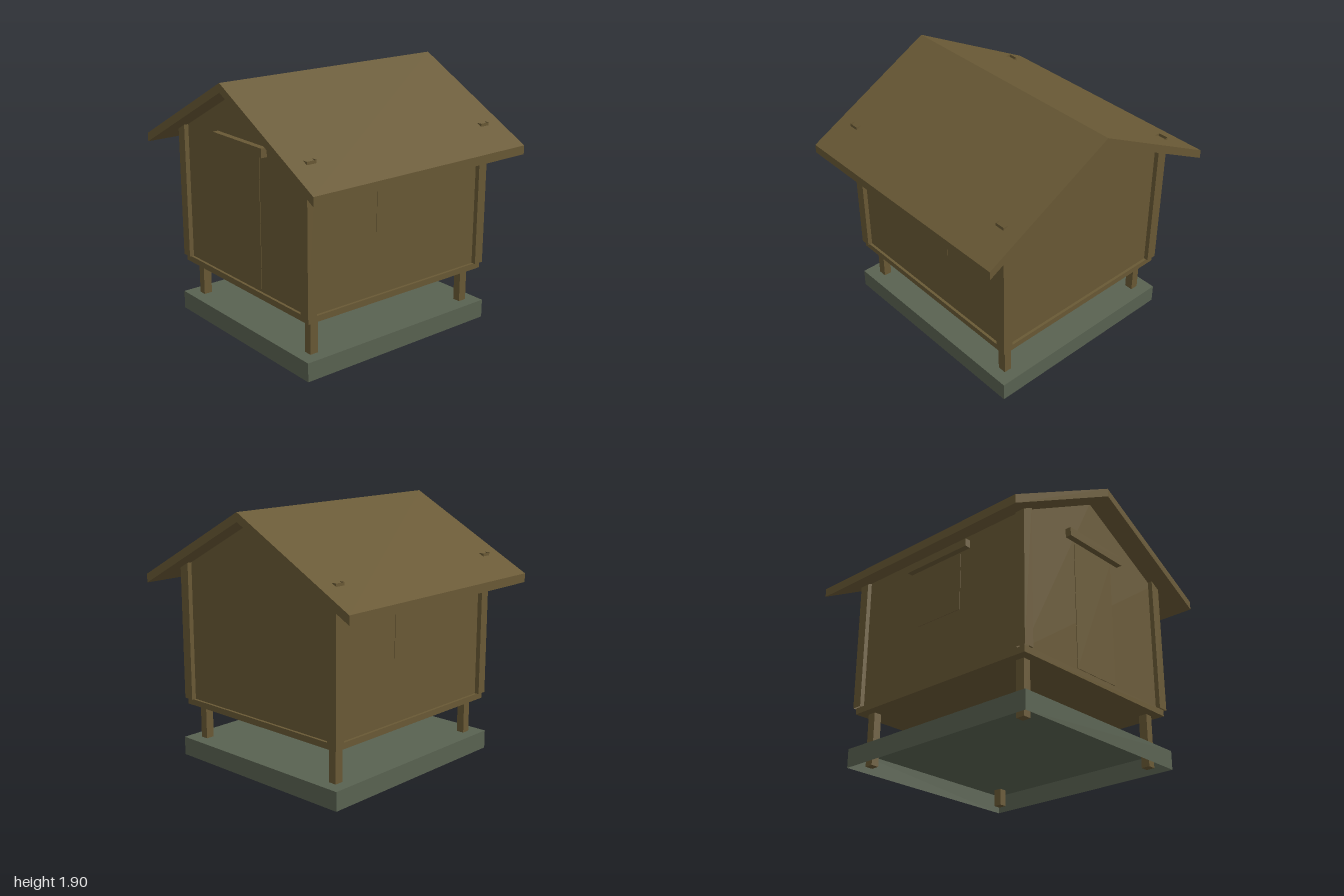
import * as THREE from 'three';

export function createModel() {
  const root = new THREE.Group();
  root.name = 'raisedCabin';

  const wood = new THREE.MeshStandardMaterial({ color: 0x69593a });
  wood.color.set(0x695935);
  wood.name = 'brown wood';
  const woodShell = wood.clone(); // same colour, for open tubes
  woodShell.side = THREE.DoubleSide;
  const stone = new THREE.MeshStandardMaterial({ color: 0x596251, side: THREE.DoubleSide });
  stone.name = 'grey green stone';

  const add = (name, geometry, material = wood) => {
    const mesh = new THREE.Mesh(geometry, material);
    mesh.name = name;
    root.add(mesh);
    return mesh;
  };

  // Box given by its extents; skipped faces are left open (0 +x, 1 -x, 2 +y, 3 -y, 4 +z, 5 -z)
  const box = (x0, x1, y0, y1, z0, z1, skip = []) => {
    const g = new THREE.BoxGeometry(x1 - x0, y1 - y0, z1 - z0);
    g.translate((x0 + x1) / 2, (y0 + y1) / 2, (z0 + z1) / 2);
    const index = Array.from(g.index.array);
    g.setIndex(index.filter((_, i) => !skip.includes(Math.floor(i / 6))));
    g.clearGroups();
    return g;
  };

  // Outline in x and y, extruded evenly about z = 0
  const prism = (points, halfDepth) => {
    const shape = new THREE.Shape(points.map(([x, y]) => new THREE.Vector2(x, y)));
    const g = new THREE.ExtrudeGeometry(shape, { depth: 2 * halfDepth, bevelEnabled: false });
    return g.translate(0, 0, -halfDepth);
  };

  // Foundation slab, hollow underneath
  add('foundation', box(-0.78, 0.78, 0, 0.138, -0.83, 0.83, [3]), stone);

  // Floor and gabled body
  add('floor', box(-0.755, 0.755, 0.4, 0.445, -0.805, 0.805));
  const wallX = 0.735, wallZ = 0.785, slope = 0.535;
  const eave = 1.85 - slope * wallX;
  add('walls', prism(
    [[-wallX, 0.44], [wallX, 0.44], [wallX, eave], [0, 1.85], [-wallX, eave]], wallZ));

  // Pitched roof
  add('roof', prism(
    [[-1, 1.305], [0, 1.84], [1, 1.305], [1, 1.37], [0, 1.905], [-1, 1.37]], 0.95));

  // Stilts and corner trims
  for (const sx of [-1, 1]) {
    for (const sz of [-1, 1]) {
      const span = (s, a, b) => (s > 0 ? [a, b] : [-b, -a]);
      add('stilt', box(...span(sx, 0.63, 0.69), 0.01, 0.41, ...span(sz, 0.675, 0.74)));
      add('cornerTrim',
        box(...span(sx, 0.69, 0.77), 0.445, 1.515, ...span(sz, 0.745, 0.82), [2, 3]), woodShell);
    }
  }

  // Door with its lintel
  add('door', box(-0.205, 0.205, 0.47, 1.42, wallZ - 0.002, wallZ + 0.004));
  add('doorLintel', box(-0.292, 0.292, 1.435, 1.5, wallZ - 0.01, 0.83));

  // Side windows with their lintels
  for (const s of [-1, 1]) {
    const x = (a, b) => (s > 0 ? [a, b] : [-b, -a]);
    add('window', box(...x(wallX - 0.002, wallX + 0.004), 0.905, 1.335, -0.205, 0.205));
    add('windowLintel', box(...x(wallX - 0.01, 0.78), 1.35, 1.408, -0.292, 0.292));
  }

  return root;
}
